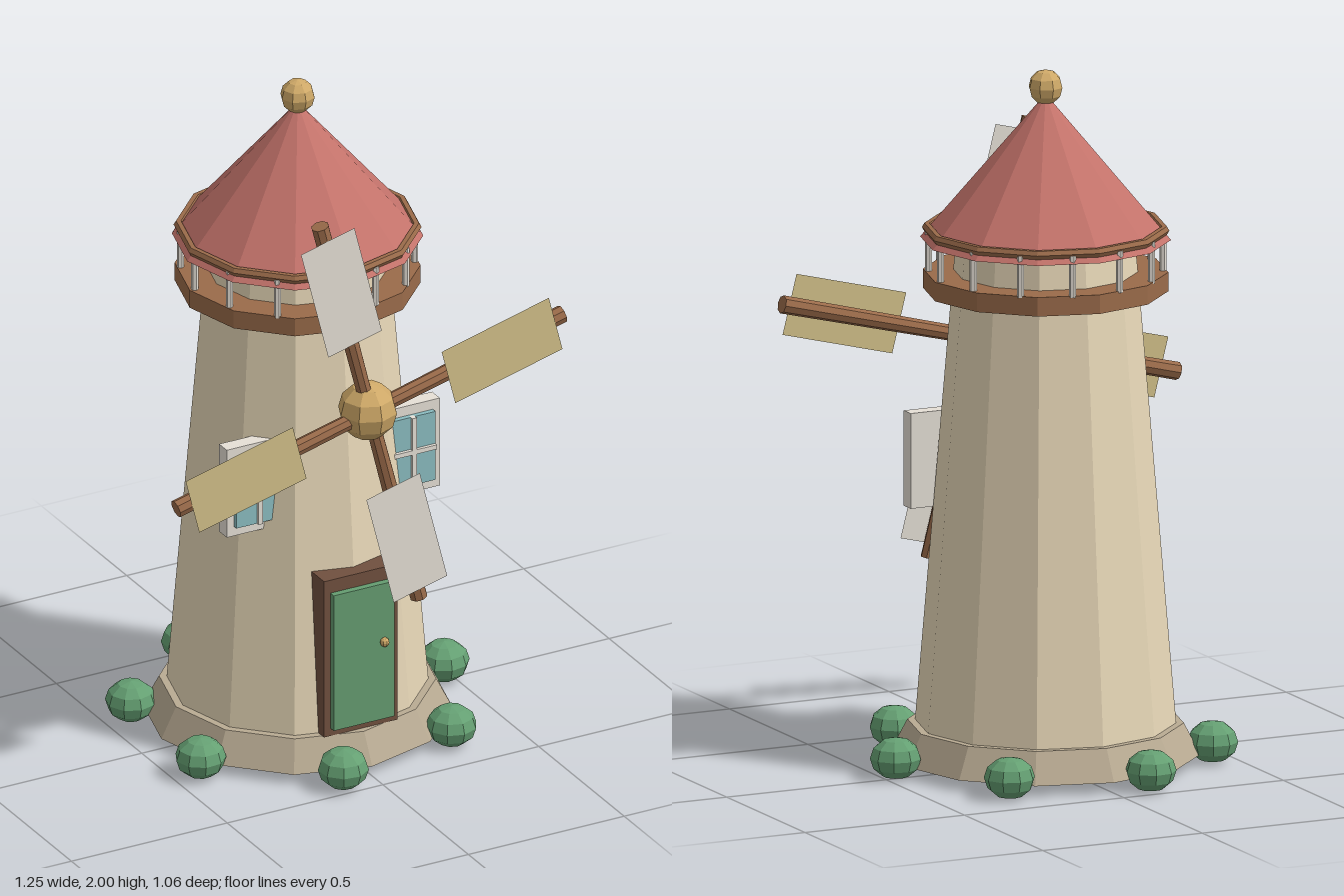
import * as THREE from 'three';

const COLORS = {
  wall: 0xe8d8b8, stone: 0xb9ab93, roof: 0xc4736b, wood: 0x9a6b4a, darkWood: 0x70503f,
  gold: 0xcfa968, cream: 0xe6e0d6, straw: 0xd2c089, door: 0x659c70, leaf: 0x65a073,
  glass: 0x8abcc0,
};
const materials = {};
for (const [key, color] of Object.entries(COLORS)) {
  materials[key] = new THREE.MeshStandardMaterial({ color, flatShading: true });
}
materials.cream.side = materials.straw.side = THREE.DoubleSide;

function add(parent, name, geometry, material, x = 0, y = 0, z = 0) {
  const mesh = new THREE.Mesh(geometry, materials[material]);
  mesh.name = name;
  mesh.position.set(x, y, z);
  parent.add(mesh);
  return mesh;
}

// Faceted round section standing between two heights
function drum(parent, name, material, y0, y1, r0, r1, sides = 12) {
  return add(parent, name, new THREE.CylinderGeometry(r1, r0, y1 - y0, sides), material, 0, (y0 + y1) / 2, 0);
}

function box(parent, name, material, w, h, d, x, y, z) {
  return add(parent, name, new THREE.BoxGeometry(w, h, d), material, x, y, z);
}

function addTower(model) {
  drum(model, 'base', 'stone', 0.03, 0.12, 0.437, 0.39);
  drum(model, 'tower', 'wall', 0.1, 1.52, 0.37, 0.252);
  drum(model, 'roof', 'roof', 1.513, 1.93, 0.354, 0);
  add(model, 'finial', new THREE.SphereGeometry(0.05, 8, 6), 'gold', 0, 1.95, 0);
}

function addBalcony(model) {
  const balcony = new THREE.Group();
  balcony.name = 'balcony';
  model.add(balcony);
  drum(balcony, 'deck', 'wood', 1.365, 1.42, 0.346, 0.346);
  const rail = add(balcony, 'rail', new THREE.TorusGeometry(0.335, 0.014, 6, 12), 'wood', 0, 1.54, 0);
  rail.rotation.x = Math.PI / 2;
  const postGeometry = new THREE.CylinderGeometry(0.01, 0.01, 0.12, 6);
  const posts = 14;
  for (let i = 0; i < posts; i++) {
    const a = (i / posts) * Math.PI * 2;
    add(balcony, 'post', postGeometry, 'cream', 0.33 * Math.cos(a), 1.475, 0.33 * Math.sin(a));
  }
}

function addDoor(model) {
  const door = new THREE.Group();
  door.name = 'door';
  model.add(door);
  box(door, 'doorFrame', 'darkWood', 0.235, 0.49, 0.08, 0, 0.365, 0.33);
  box(door, 'doorPanel', 'door', 0.195, 0.425, 0.03, 0, 0.357, 0.375);
  add(door, 'doorKnob', new THREE.SphereGeometry(0.014, 8, 6), 'gold', 0.063, 0.388, 0.395);
}

function addWindow(model, side) {
  const win = new THREE.Group();
  win.name = side > 0 ? 'leftWindow' : 'rightWindow';
  win.position.set(side * 0.247, 0.87, 0);
  model.add(win);
  box(win, 'windowFrame', 'cream', 0.19, 0.275, 0.045, 0, 0, 0.187);
  box(win, 'windowGlass', 'glass', 0.145, 0.215, 0.03, 0, 0, 0.21);
  box(win, 'verticalBar', 'cream', 0.014, 0.215, 0.02, 0, 0, 0.225);
  box(win, 'horizontalBar', 'cream', 0.145, 0.014, 0.02, 0, 0, 0.225);
}

// Four arms with thin sails turning around the hub
function addBlades(model) {
  const blades = new THREE.Group();
  blades.name = 'blades';
  blades.position.set(0, 1.14, 0.41);
  blades.rotation.z = 0.25;
  model.add(blades);
  const hub = add(blades, 'hub', new THREE.SphereGeometry(0.086, 8, 6), 'gold');
  hub.rotation.z = -0.25;
  const armGeometry = new THREE.CylinderGeometry(0.026, 0.022, 0.64, 8);
  const sailGeometry = new THREE.PlaneGeometry(0.177, 0.355);
  for (let i = 0; i < 4; i++) {
    const blade = new THREE.Group();
    blade.name = 'blade';
    blade.rotation.z = (i * Math.PI) / 2;
    blades.add(blade);
    add(blade, 'arm', armGeometry, 'wood', 0, 0.32, 0.01);
    add(blade, 'sail', sailGeometry, i % 2 ? 'straw' : 'cream', 0, 0.424, 0.038);
  }
}

function addBushes(model) {
  const geometry = new THREE.SphereGeometry(0.073, 9, 6);
  const count = 7;
  for (let i = 0; i < count; i++) {
    const a = (i / count) * Math.PI * 2;
    const bush = add(model, 'bush', geometry, 'leaf', 0.47 * Math.cos(a), 0.06, 0.47 * Math.sin(a));
    bush.scale.y = 0.06 / 0.073;
    bush.rotation.y = a;
  }
}

export function createModel() {
  const model = new THREE.Group();
  model.name = 'windmill';
  addTower(model);
  addBalcony(model);
  addDoor(model);
  for (const side of [1, -1]) addWindow(model, side);
  addBlades(model);
  addBushes(model);
  return model;
}
